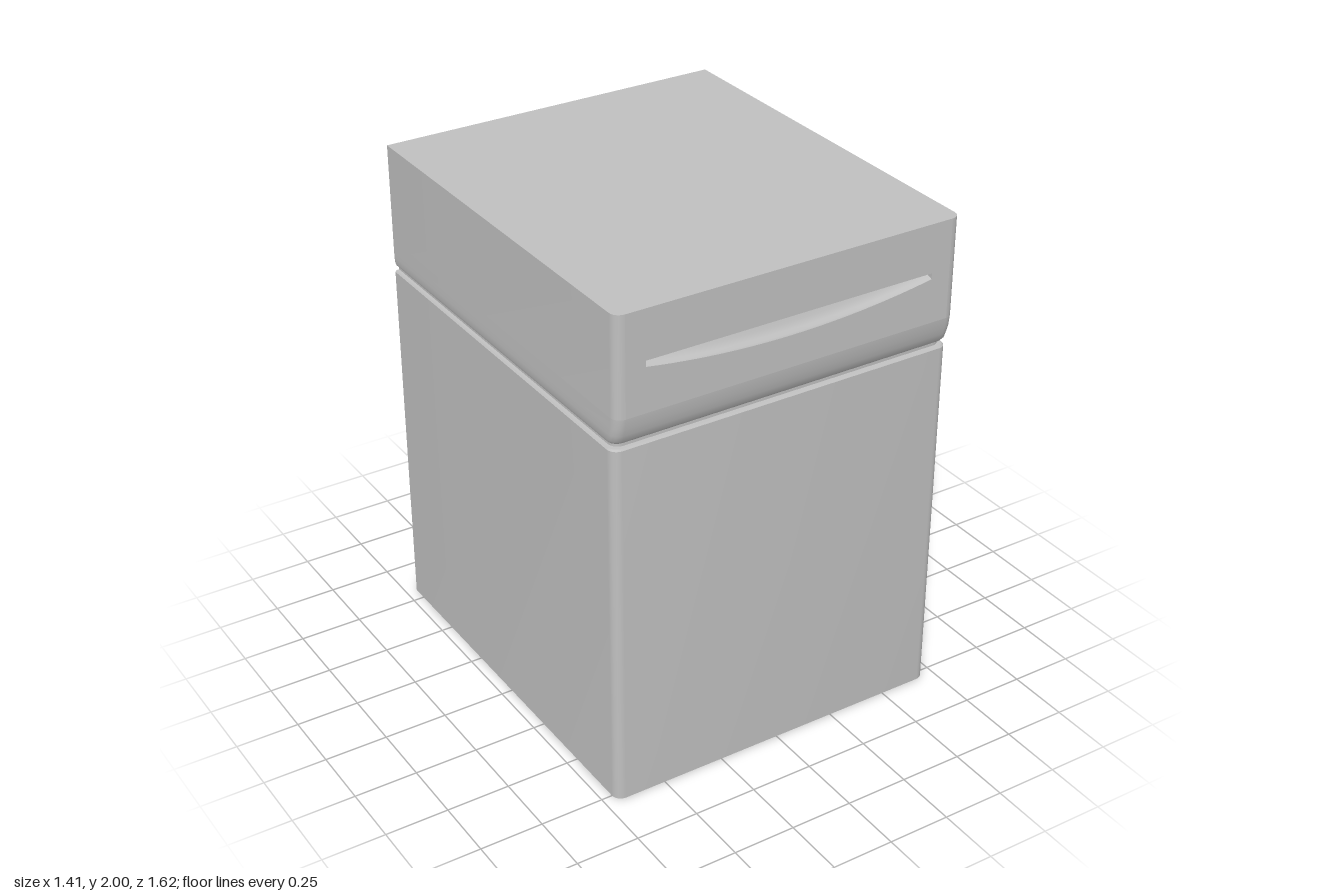
import * as THREE from 'three';
import { toCreasedNormals } from 'three/addons/utils/BufferGeometryUtils.js';

const BACK = -0.812, FRONT = 0.812, HALF = 0.706, R = 0.038, ARC = 6;

// Open U outline seen from above: right back, rounded front corners, left back
function outline(w, front, r = R) {
  const right = [[-w, BACK]];
  for (let i = 0; i <= ARC; i++) {
    const a = (i / ARC) * Math.PI / 2;
    right.push([-w + r - r * Math.cos(a), front - r + r * Math.sin(a)]);
  }
  return right.concat(right.map(([x, z]) => [-x, z]).reverse());
}

// Skin between rows of points; skip leaves out one column
function skin(rows, skip = -1) {
  const pos = [], idx = [], n = rows[0].length;
  rows.forEach(row => row.forEach(p => pos.push(...p)));
  for (let j = 0; j < rows.length - 1; j++) {
    for (let i = 0; i < n - 1; i++) {
      if (i === skip) continue;
      const a = j * n + i, b = a + n;
      idx.push(a, a + 1, b + 1, a, b + 1, b);
    }
  }
  const g = new THREE.BufferGeometry();
  g.setAttribute('position', new THREE.Float32BufferAttribute(pos, 3));
  g.setIndex(idx);
  return toCreasedNormals(g, 0.6);
}

// Walls from levels of [y, half width, front z]
const walls = (levels, skip) =>
  skin(levels.map(([y, w, f]) => outline(w, f).map(([x, z]) => [x, y, z])), skip);

export function createModel() {
  const group = new THREE.Group();
  const grey = new THREE.MeshStandardMaterial({ color: 0xc0c0c0, side: THREE.DoubleSide });
  grey.name = 'grey';
  const add = (name, geometry) => {
    const mesh = new THREE.Mesh(geometry, grey);
    mesh.name = name;
    group.add(mesh);
  };

  // Lower cabinet: front and two sides, open at the back and below
  add('cabinetBody', walls([[0, HALF, 0.787], [1.476, HALF, 0.787], [1.482, HALF - 0.005, 0.782]]));

  // Narrow recessed seam between cabinet and drawer
  add('seam', walls([[1.482, HALF - 0.005, 0.782], [1.483, 0.69, 0.768],
    [1.502, 0.69, 0.768], [1.503, HALF - 0.006, 0.78]]));

  // Drawer's curved lower edge
  add('drawerLowerEdge', walls([[1.503, HALF - 0.006, 0.78], [1.515, HALF - 0.002, 0.79],
    [1.54, HALF, 0.798], [1.57, HALF, 0.807], [1.61, HALF, FRONT]]));

  // Drawer sides and corners, with the flat front left out
  add('drawerSides', walls([[1.61, HALF, FRONT], [2, HALF, FRONT]], ARC + 1));

  // Grip opening: straight top, bowed bottom
  const top = 1.808, end = 0.59, steps = 24;
  const bowX = i => -end + (2 * end * i) / steps;
  const bowY = x => 1.735 + 0.05 * (x / end) ** 2;
  const bow = Array.from({ length: steps + 1 }, (_, i) => [bowX(i), bowY(bowX(i))]);

  // Drawer front with the grip cut out
  const fx = HALF - R;
  const panel = new THREE.Shape([[-fx, 1.61], [fx, 1.61], [fx, 2], [-fx, 2]]
    .map(p => new THREE.Vector2(...p)));
  panel.holes.push(new THREE.Path([[end, top], [-end, top], ...bow]
    .map(p => new THREE.Vector2(...p))));
  add('drawerFront', new THREE.ShapeGeometry(panel).translate(0, 0, FRONT));

  // Sloping grip pocket with a rounded lower lip
  const pocketRow = (t, z) => bow.map(([x, y]) => [x, y + (top - y) * t, z]);
  add('gripPocket', skin([pocketRow(0, FRONT), pocketRow(0.1, 0.808), pocketRow(0.2, 0.798),
    pocketRow(0.5, 0.785), pocketRow(1, 0.775), pocketRow(1, FRONT)]));
  for (const s of [-1, 1]) {
    const y = bowY(end);
    const cheek = [[[s * end, y, FRONT], [s * end, y, 0.795]],
      [[s * end, top, FRONT], [s * end, top, 0.775]]];
    add(s < 0 ? 'gripEndRight' : 'gripEndLeft', skin(cheek));
  }

  // Flat top with rounded front corners
  const lid = new THREE.Shape(outline(HALF, FRONT).map(([x, z]) => new THREE.Vector2(x, -z)));
  add('topPanel', new THREE.ShapeGeometry(lid).rotateX(-Math.PI / 2).translate(0, 2, 0));

  return group;
}
